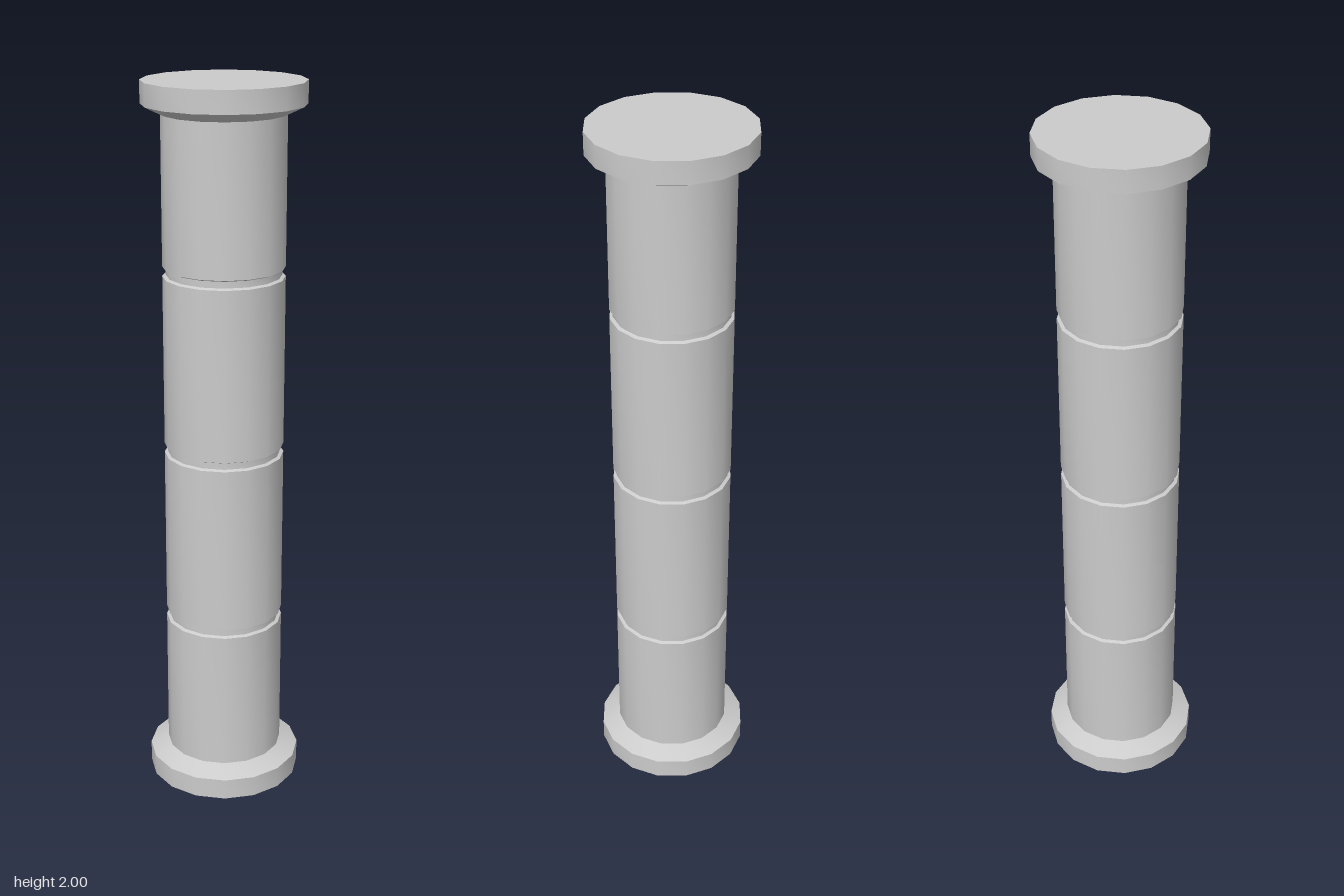
import * as THREE from 'three';
import { toCreasedNormals } from 'three/addons/utils/BufferGeometryUtils.js';

const SIDES = 16;
const SHAFT_R = 0.165, GROOVE_R = 0.156, PLATE_R = 0.217;
const HEIGHT = 2, PLATE_H = 0.06, BEVEL_TOP = 0.085;

export function createModel() {
  const group = new THREE.Group();
  const material = new THREE.MeshStandardMaterial({ color: 0xcccccc });

  // Revolves a bottom-to-top profile, smooth around and sharp at the edges
  function turned(name, profile) {
    const points = profile.map(([r, y]) => new THREE.Vector2(r, y));
    const geometry = toCreasedNormals(new THREE.LatheGeometry(points, SIDES), 0.6);
    const mesh = new THREE.Mesh(geometry, material);
    mesh.name = name;
    group.add(mesh);
  }

  // Base plate with a bevel up to the shaft; the capital is its mirror image
  const plate = [[0, 0], [PLATE_R, 0], [PLATE_R, PLATE_H], [SHAFT_R, BEVEL_TOP]];
  turned('base', plate);
  turned('capital', plate.map(([r, y]) => [r, HEIGHT - y]).reverse());

  // Shaft of four drums, parted by shallow chamfered grooves
  const shaft = [[SHAFT_R, BEVEL_TOP]];
  for (const y of [0.5, 1, 1.5]) {
    shaft.push([SHAFT_R, y - 0.013], [GROOVE_R, y - 0.009], [GROOVE_R, y + 0.009], [SHAFT_R, y + 0.013]);
  }
  shaft.push([SHAFT_R, HEIGHT - BEVEL_TOP]);
  turned('shaft', shaft);

  return group;
}
